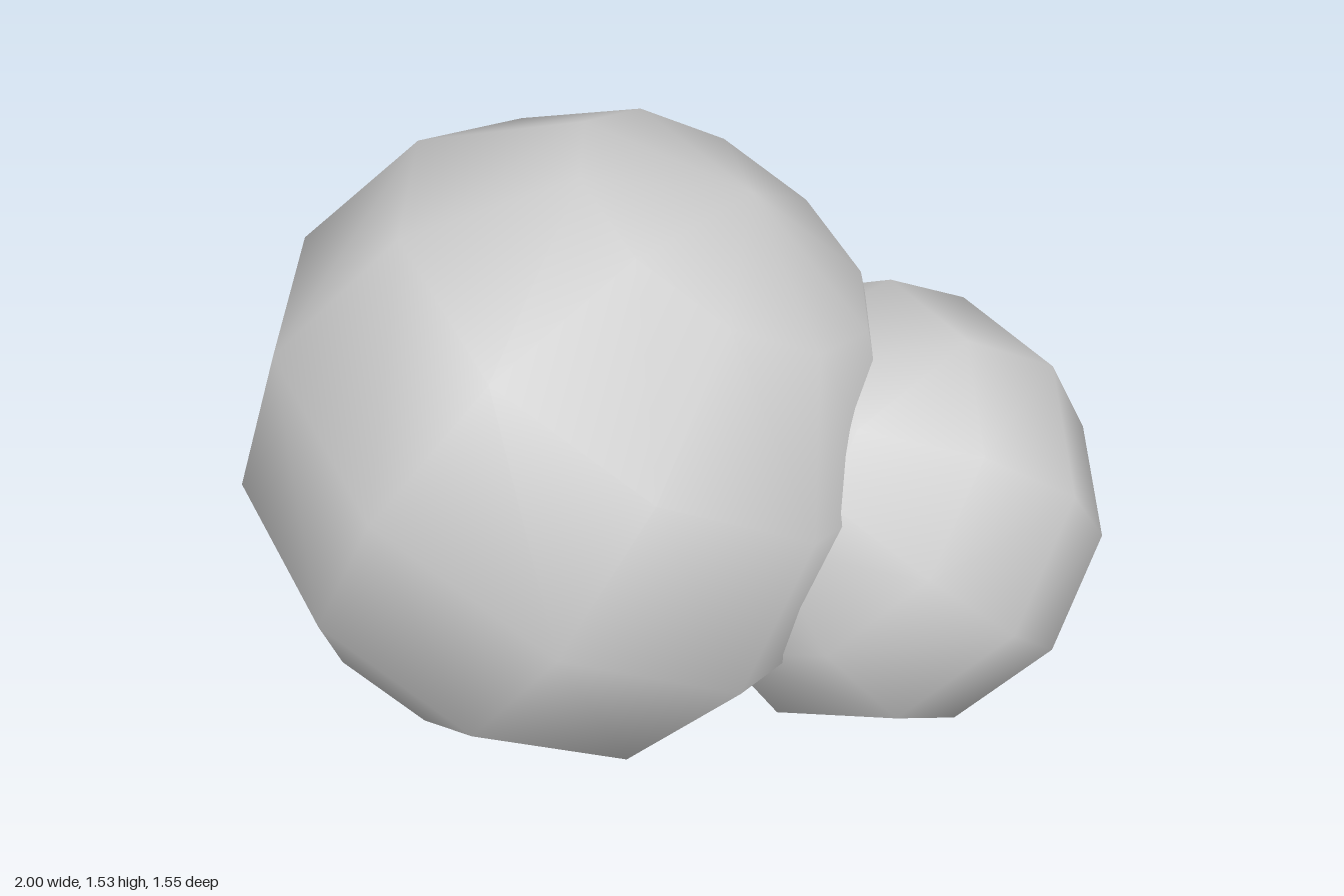
import * as THREE from 'three';

// Coarse smooth-shaded ball, turned so its pole and one equator vertex face given directions
function ball(name, radius, centre, pole, equator) {
  const y = new THREE.Vector3(...pole).normalize();
  const x = new THREE.Vector3(...equator);
  x.addScaledVector(y, -x.dot(y)).normalize();
  const z = new THREE.Vector3().crossVectors(x, y);
  const mesh = new THREE.Mesh(
    new THREE.SphereGeometry(radius, 10, 6),
    new THREE.MeshStandardMaterial({ color: 0xcccccc })
  );
  mesh.name = name;
  mesh.quaternion.setFromRotationMatrix(new THREE.Matrix4().makeBasis(x, y, z));
  mesh.position.set(...centre);
  return mesh;
}

export function createModel() {
  const model = new THREE.Group();
  model.name = 'joinedBalls';
  model.add(
    ball('largeBall', 0.775, [-0.253, 0.768, 0], [0.53, 0.848, 0], [0, 0, 1]),
    ball('smallBall', 0.554, [0.463, 0.553, 0.002], [0.607, -0.71, -0.357], [0.065, -0.41, 0.912])
  );
  return model;
}
